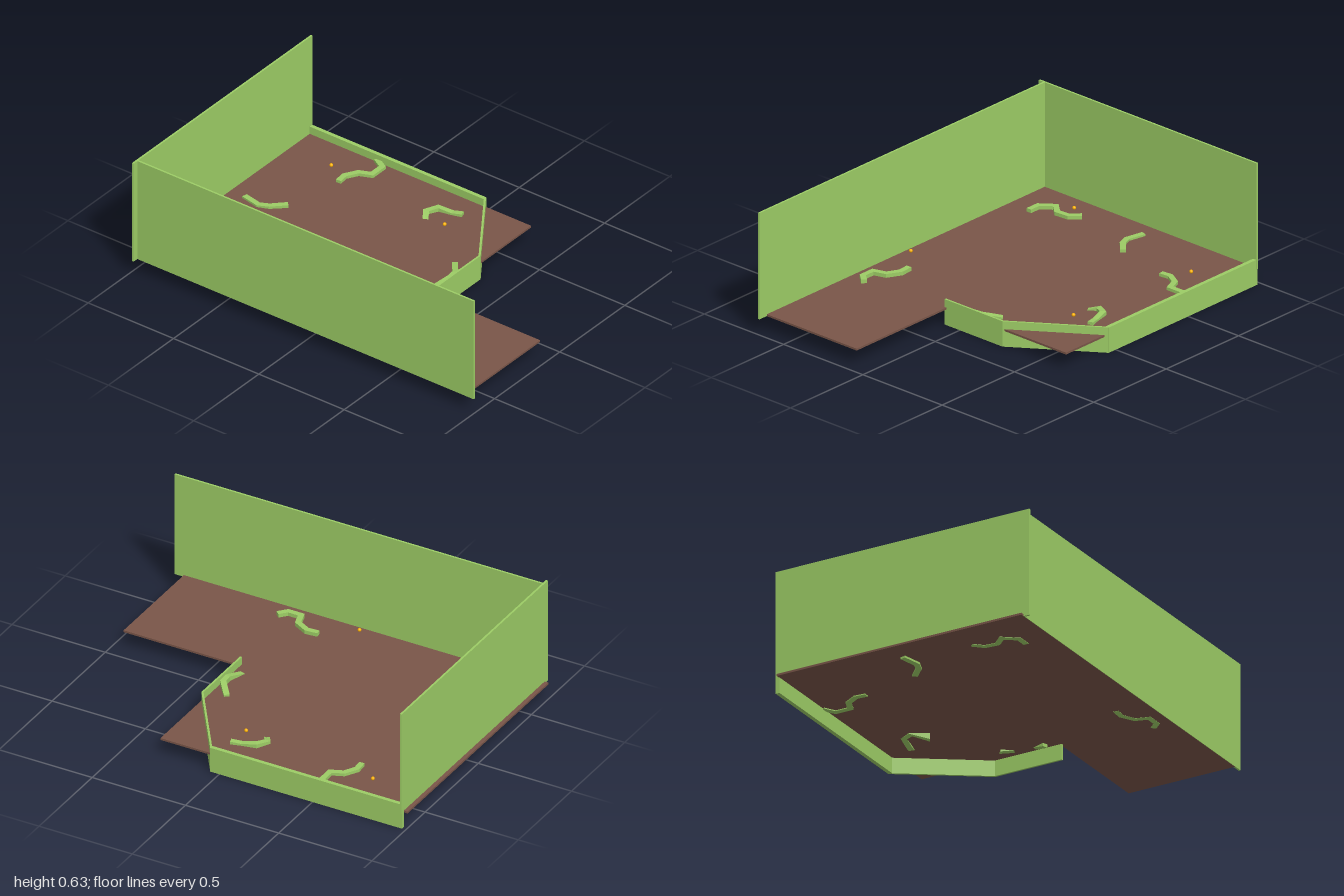
import * as THREE from 'three';

const green = new THREE.MeshStandardMaterial({ color: 0x9ccc65, flatShading: true });
const brown = new THREE.MeshStandardMaterial({ color: 0x795548, flatShading: true });
const amber = new THREE.MeshStandardMaterial({ color: 0xffb300 });

// Rectangular section swept along a floor path [x, z, bottom y] with mitred corners
function strip(path, width, height) {
  const pos = [], index = [];
  const dir = (a, b) => new THREE.Vector2(b[0] - a[0], b[1] - a[1]).normalize();
  const n = path.length;
  path.forEach(([x, z, y], i) => {
    const d0 = dir(path[Math.max(i - 1, 0)], path[Math.max(i, 1)]);
    const d1 = dir(path[Math.min(i, n - 2)], path[Math.min(i + 1, n - 1)]);
    const d = d0.clone().add(d1).normalize();
    const h = width / 2 / d.dot(d0);
    const rx = -d.y * h, rz = d.x * h;
    pos.push(x - rx, y, z - rz, x + rx, y, z + rz,
      x + rx, y + height, z + rz, x - rx, y + height, z - rz);
  });
  const quad = (a, b, c, d) => index.push(a, b, c, a, c, d);
  for (let i = 0; i < n - 1; i++) {
    for (let k = 0; k < 4; k++) {
      const a = i * 4 + k, b = i * 4 + (k + 1) % 4;
      quad(a, a + 4, b + 4, b);
    }
  }
  const e = (n - 1) * 4;
  quad(0, 1, 2, 3);
  quad(e + 3, e + 2, e + 1, e);
  const g = new THREE.BufferGeometry();
  g.setAttribute('position', new THREE.Float32BufferAttribute(pos, 3));
  g.setIndex(index);
  const flat = g.toNonIndexed();
  flat.computeVertexNormals();
  return flat;
}

export function createModel() {
  const model = new THREE.Group();
  const add = (name, geometry, material) => {
    const mesh = new THREE.Mesh(geometry, material);
    mesh.name = name;
    model.add(mesh);
    return mesh;
  };

  // L-shaped ground slab
  const outline = [[-1, 0.66], [0.95, 0.66], [0.95, 0.085], [0.325, 0.085], [0.325, -0.665], [-1, -0.665]];
  const shape = new THREE.Shape(outline.map(([x, z]) => new THREE.Vector2(x, -z)));
  const slab = new THREE.ExtrudeGeometry(shape, { depth: 0.01, bevelEnabled: false });
  slab.rotateX(-Math.PI / 2);
  add('ground', slab, brown).position.y = 0.08;

  // Tall walls
  add('frontWall', new THREE.BoxGeometry(1.98, 0.545, 0.01), green).position.set(0.01, 0.353, 0.657);
  add('sideWall', new THREE.BoxGeometry(0.01, 0.545, 1.375), green).position.set(-0.975, 0.353, 0.003);

  // Low wall: straight back, diagonal, short return
  add('lowBackWall', new THREE.BoxGeometry(1.03, 0.13, 0.02), green).position.set(-0.465, 0.065, -0.672);
  add('lowCornerWall', strip([[0.045, -0.678, 0], [0.326, -0.268, 0], [0.326, 0.095, 0]], 0.01, 0.13), green);

  // Crooked vines: [x, z, bottom y]
  const vines = [
    [[-0.58, -0.665, 0.075], [-0.52, -0.63, 0.075], [-0.52, -0.55, 0.075], [-0.58, -0.525, 0.075], [-0.615, -0.465, 0.075], [-0.61, -0.41, 0.075]],
    [[0.02, -0.54, 0.075], [-0.03, -0.525, 0.07], [-0.1, -0.51, 0.08], [-0.13, -0.455, 0.075], [-0.08, -0.38, 0.05]],
    [[-0.885, -0.05, 0.07], [-0.79, -0.03, 0.07], [-0.74, -0.05, 0.072], [-0.675, -0.11, 0.075]],
    [[0.24, -0.19, 0.07], [0.305, -0.11, 0.085], [0.31, -0.06, 0.085], [0.28, 0.03, 0.063]],
    [[-0.83, 0.29, 0.078], [-0.785, 0.335, 0.078], [-0.78, 0.4, 0.078], [-0.825, 0.45, 0.078], [-0.775, 0.515, 0.078], [-0.71, 0.515, 0.078]],
    [[0.14, 0.495, 0.079], [0.2, 0.49, 0.079], [0.265, 0.525, 0.079], [0.285, 0.59, 0.079], [0.355, 0.59, 0.079], [0.39, 0.55, 0.079]],
  ];
  vines.forEach((path, i) => add(`vine${i + 1}`, strip(path, 0.028, 0.03), green));

  // Small beads on the ground
  const bead = new THREE.SphereGeometry(0.009, 16, 12);
  [[-0.72, -0.5], [0.005, -0.42], [-0.875, 0.38], [-0.01, 0.62]].forEach(([x, z], i) => {
    add(`bead${i + 1}`, bead, amber).position.set(x, 0.099, z);
  });

  return model;
}
